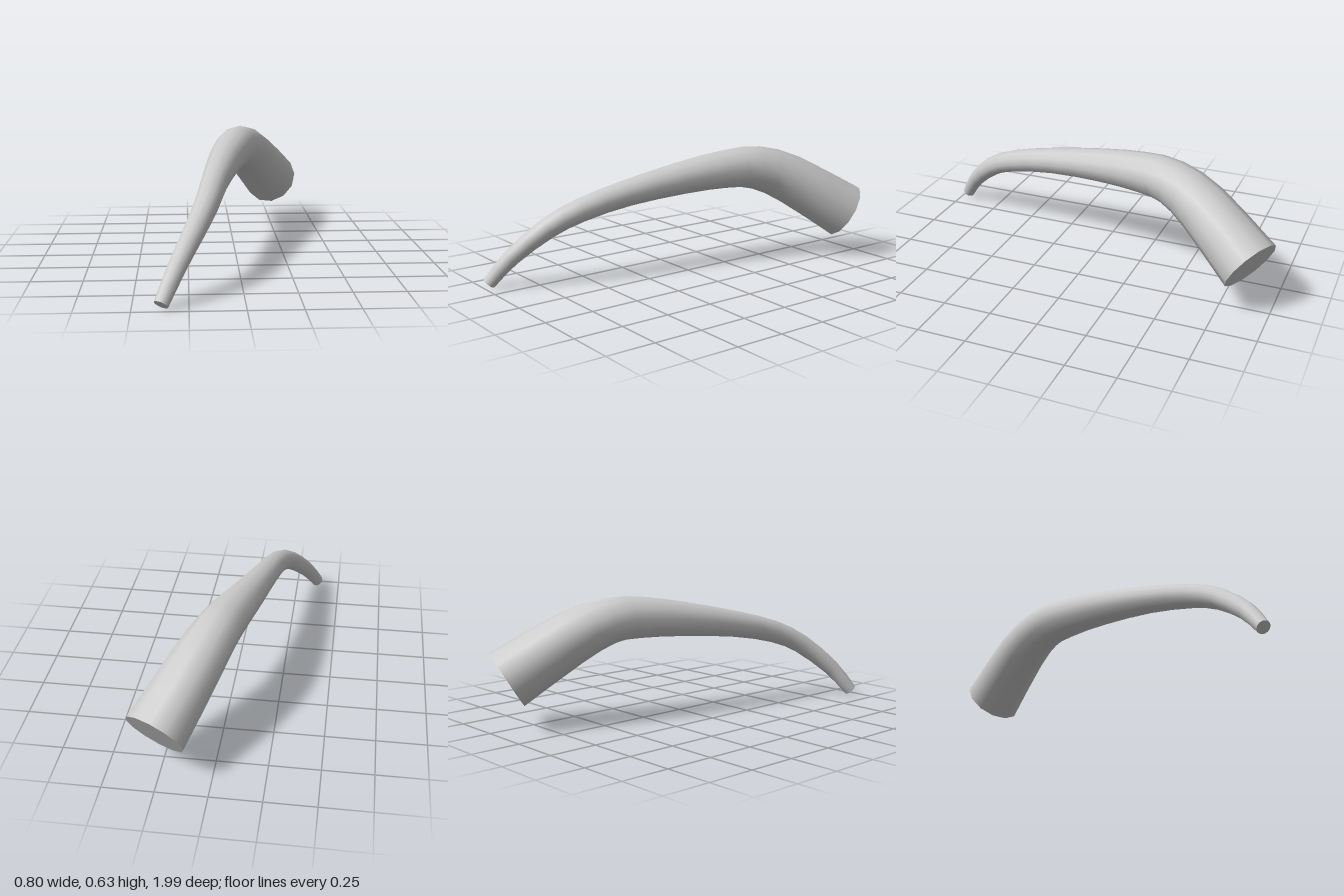
import * as THREE from 'three';

// Centre line and radius from the thin tip to the thick base: x, y, z, r
const SECTIONS = [
  [-0.37, 0.024, 0.97, 0.034],
  [-0.305, 0.155, 0.875, 0.043],
  [-0.218, 0.297, 0.715, 0.053],
  [-0.163, 0.378, 0.55, 0.06],
  [-0.118, 0.44, 0.3, 0.069],
  [-0.06, 0.489, 0, 0.087],
  [0, 0.517, -0.25, 0.104],
  [0.048, 0.512, -0.425, 0.116],
  [0.12, 0.437, -0.61, 0.134],
  [0.26, 0.249, -0.89, 0.154],
];
const SIDES = 12;
const STEPS = 18;

// Bends a unit cylinder along the curve, scaling each ring by its radius
function taperedTube(sections) {
  const path = new THREE.CatmullRomCurve3(
    sections.map(([x, y, z]) => new THREE.Vector3(x, y, z)), false, 'catmullrom', 0.5);
  const radii = new THREE.CatmullRomCurve3(
    sections.map((s) => new THREE.Vector3(s[3], 0, 0)), false, 'catmullrom', 0.5);
  const geometry = new THREE.CylinderGeometry(1, 1, 1, SIDES, STEPS);
  const { position, normal } = geometry.attributes;
  const p = new THREE.Vector3();
  const n = new THREE.Vector3();
  const frame = new THREE.Matrix4();

  for (let i = 0; i < position.count; i++) {
    p.fromBufferAttribute(position, i);
    n.fromBufferAttribute(normal, i);
    const t = THREE.MathUtils.clamp(p.y + 0.5, 0, 1);
    const along = path.getTangent(t);
    const side = new THREE.Vector3(1, 0, 0).addScaledVector(along, -along.x).normalize();
    frame.makeBasis(side, along, new THREE.Vector3().crossVectors(side, along));

    p.setY(0).multiplyScalar(radii.getPoint(t).x).applyMatrix4(frame).add(path.getPoint(t));
    n.applyMatrix4(frame).normalize();
    position.setXYZ(i, p.x, p.y, p.z);
    normal.setXYZ(i, n.x, n.y, n.z);
  }
  return geometry;
}

export function createModel() {
  const group = new THREE.Group();
  group.name = 'curvedHorn';

  // Curved horn with flat ends
  const horn = new THREE.Mesh(
    taperedTube(SECTIONS),
    new THREE.MeshStandardMaterial({ color: 0xcccccc }));
  horn.name = 'horn';
  group.add(horn);
  return group;
}
